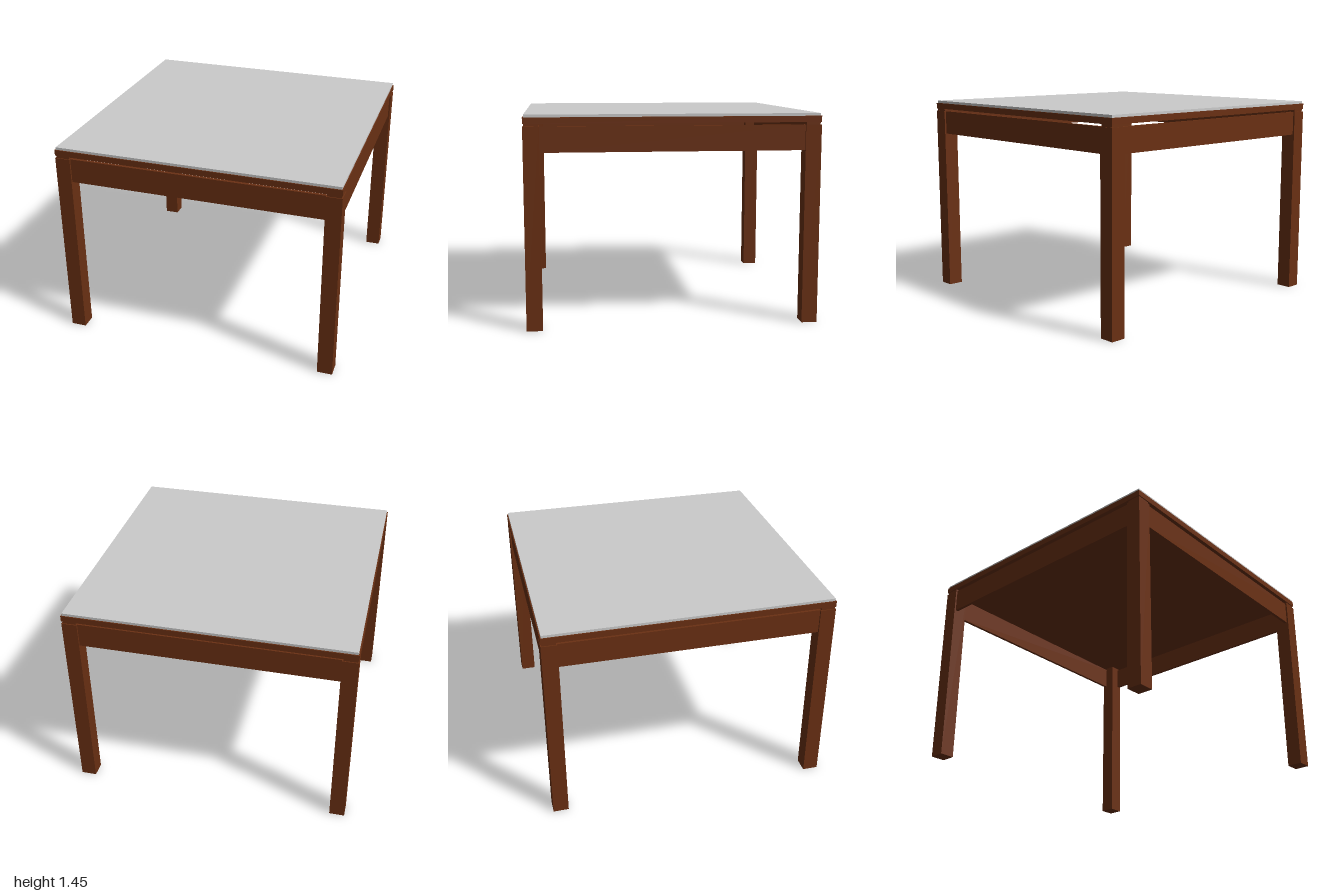
import * as THREE from 'three';

export function createModel() {
  const table = new THREE.Group();
  table.name = 'table';
  const wood = new THREE.MeshStandardMaterial({ color: 0x6a3013 });
  const grey = new THREE.MeshStandardMaterial({ color: 0xcccccc });

  // Box standing between heights y0 and y1
  function box(name, parent, w, d, y0, y1, x = 0, z = 0, material = wood) {
    const mesh = new THREE.Mesh(new THREE.BoxGeometry(w, y1 - y0, d), material);
    mesh.name = name;
    mesh.position.set(x, (y0 + y1) / 2, z);
    parent.add(mesh);
  }

  const legWidth = 0.108;
  const legCentre = 1 - legWidth / 2;
  const apronLength = 2 - 2 * legWidth;

  // Corner legs, each with a slightly inset spacer that carries the top
  for (const [side, sx] of [['Left', 1], ['Right', -1]]) {
    for (const [end, sz] of [['front', 1], ['back', -1]]) {
      const x = sx * legCentre, z = sz * legCentre;
      box(`${end}${side}Leg`, table, legWidth, legWidth, 0, 1.372, x, z);
      box(`${end}${side}Spacer`, table, legWidth - 0.014, legWidth - 0.014, 1.372, 1.39, x, z);
    }
  }

  // Thin apron boards between the legs, set just behind their outer faces
  ['front', 'left', 'back', 'right'].forEach((name, i) => {
    const side = new THREE.Group();
    side.name = `${name}Side`;
    side.rotation.y = i * Math.PI / 2;
    box(`${name}Apron`, side, apronLength, 0.022, 1.2, 1.372, 0, 0.977);
    table.add(side);
  });

  // Wooden top with a thin plate laid on it
  box('tableTop', table, 2, 2, 1.39, 1.432);
  box('topPlate', table, 1.986, 1.986, 1.432, 1.45, 0, 0, grey);

  return table;
}
